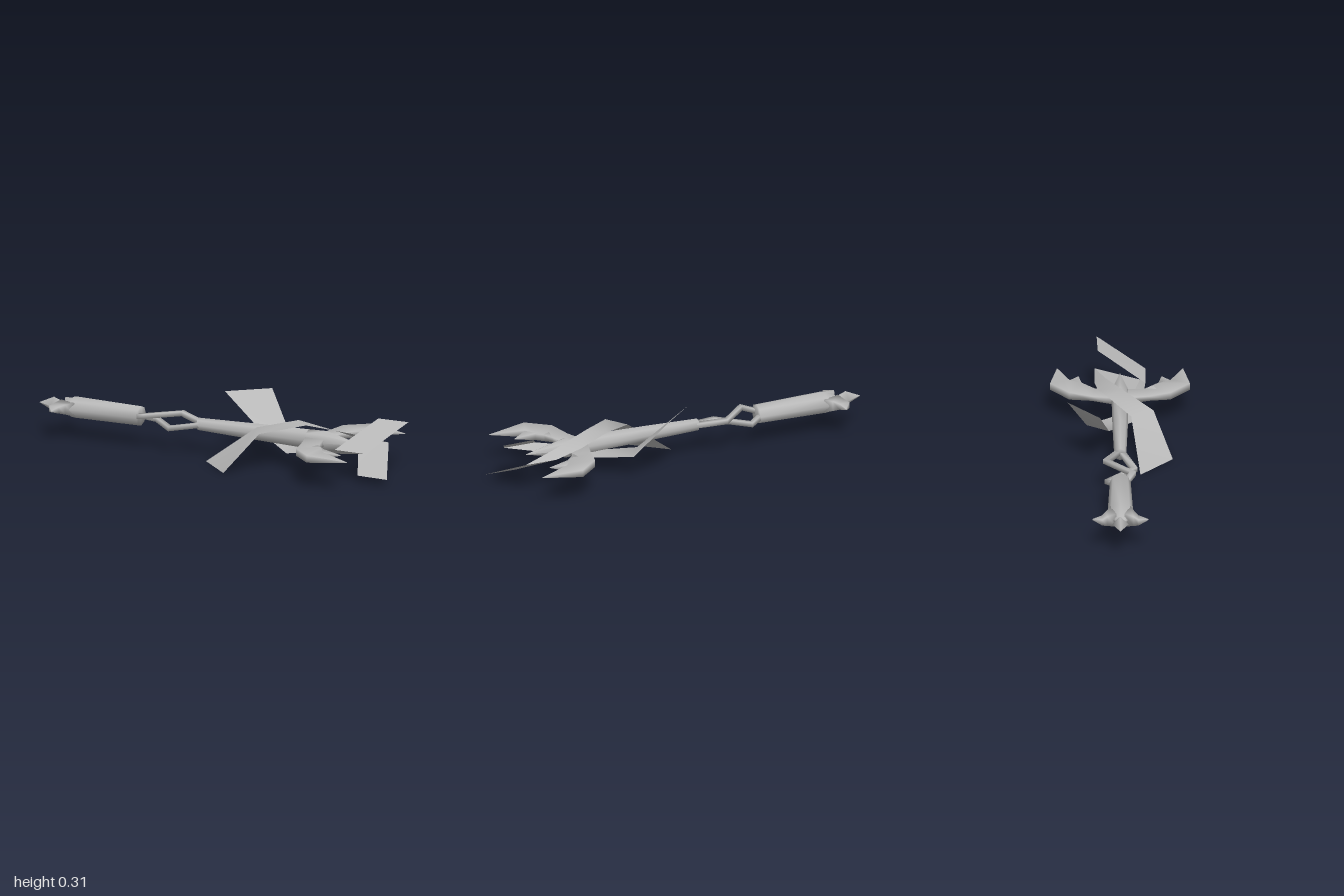
import * as THREE from 'three';

const metal = new THREE.MeshStandardMaterial({ color: 0xb8b8b8, side: THREE.DoubleSide });
metal.name = 'grey metal';

function named(geometry, name) {
  const mesh = new THREE.Mesh(geometry, metal);
  mesh.name = name;
  return mesh;
}

// Skin a row of equal-length cross-sections; closed sections form a tube with capped ends
function loft(sections, closed = true) {
  const n = sections[0].length, index = [];
  for (let i = 0; i < sections.length - 1; i++) {
    for (let j = 0; j < (closed ? n : n - 1); j++) {
      const a = i * n + j, b = i * n + (j + 1) % n;
      index.push(a, b, a + n, b, b + n, a + n);
    }
  }
  if (closed) {
    const e = (sections.length - 1) * n;
    for (let j = 1; j < n - 1; j++) index.push(0, j + 1, j, e, e + j, e + j + 1);
  }
  const g = new THREE.BufferGeometry();
  g.setAttribute('position', new THREE.Float32BufferAttribute(sections.flat(2), 3));
  g.setIndex(index);
  g.computeVertexNormals();
  return g;
}

// Rectangular section between two plan points [x, z], half height h
const bar = ([x1, z1, x2, z2, h]) => [[x1, -h, z1], [x1, h, z1], [x2, h, z2], [x2, -h, z2]];

// Faceted rod along x from [x, halfHeight, halfDepth] rows
function rod(rows, sides) {
  return loft(rows.map(([x, ry, rz]) => Array.from({ length: sides }, (_, i) => {
    const a = i / sides * Math.PI * 2;
    return [x, Math.cos(a) * ry, Math.sin(a) * rz];
  })));
}

// Parts that repeat with a half turn about the long axis
function buildSide() {
  const side = new THREE.Group();

  // Ribbon: each row pairs its two edges, flared tail to crossing tip
  side.add(named(loft([
    [[-0.02, -0.155, 0.10], [0.16, -0.155, 0.26]],
    [[0.24, 0.04, 0.055], [0.31, 0.04, 0.165]],
    [[0.41, 0.07, -0.065], [0.49, 0.07, 0.01]],
    [[0.57, 0.03, -0.11], [0.69, 0.035, -0.07]],
    [[0.71, 0, -0.125], [0.88, 0, -0.125]],
  ], false), 'ribbon'));
  side.add(named(loft([
    [[0.71, 0, -0.125], [0.88, 0, -0.125]],
    [[0.83, -0.12, 0.11], [0.995, -0.12, 0.115]],
  ], false), 'ribbonTip'));

  // Side blade sweeping outwards then forwards, with an inner barb
  side.add(named(loft([
    [0.50, 0.03, 0.60, 0.03, 0.018],
    [0.53, 0.14, 0.62, 0.12, 0.012],
    [0.56, 0.25, 0.67, 0.19, 0.019],
    [0.67, 0.345, 0.71, 0.25, 0.018],
    [0.875, 0.312, 0.875, 0.308, 0.001],
  ].map(bar)), 'sideBlade'));
  side.add(named(loft([
    [0.60, 0.22, 0.62, 0.13, 0.016],
    [0.70, 0.255, 0.68, 0.19, 0.017],
    [0.785, 0.208, 0.785, 0.204, 0.001],
  ].map(bar)), 'bladeBarb'));

  // Curved horn beside the pommel
  side.add(named(loft([
    [-0.87, 0.02, -0.78, 0.05, 0.035],
    [-0.885, 0.065, -0.82, 0.07, 0.025],
    [-0.90, 0.09, -0.845, 0.09, 0.015],
    [-0.865, 0.138, -0.86, 0.138, 0.002],
  ].map(bar)), 'pommelHorn'));

  // One of the two crossing strands of the open neck
  const strand = [[-0.44, 0.006, 0.03], [-0.38, 0.022, 0.062], [-0.24, 0.022, -0.07], [-0.10, 0.002, -0.012]];
  side.add(named(loft(strand.map(([x, y, z]) => [
    [x, y - 0.012, z - 0.015], [x, y + 0.012, z - 0.015],
    [x, y + 0.012, z + 0.015], [x, y - 0.012, z + 0.015],
  ])), 'neckStrand'));
  return side;
}

export function createModel() {
  const model = new THREE.Group();
  model.name = 'ornateStaff';
  const body = new THREE.Group();
  body.name = 'body';
  body.position.y = 0.155;
  model.add(body);

  // Rods along the axis
  body.add(
    named(rod([[-1, 0.001, 0.001], [-0.92, 0.038, 0.04], [-0.85, 0.012, 0.02]], 4), 'pommelPoint'),
    named(rod([[-0.89, 0.012, 0.03], [-0.80, 0.055, 0.064], [-0.435, 0.05, 0.052]], 8), 'grip'),
    named(rod([[-0.112, 0.032, 0.03], [0.2, 0.042, 0.038], [0.52, 0.05, 0.042]], 8), 'shaft'),
    named(rod([[0.5, 0.05, 0.042], [0.6, 0.053, 0.045], [0.82, 0.001, 0.001]], 8), 'headCore'),
  );

  // Two matching sides
  for (const [name, turn] of [['nearSide', 0], ['farSide', Math.PI]]) {
    const side = buildSide();
    side.name = name;
    side.rotation.x = turn;
    body.add(side);
  }
  return model;
}
